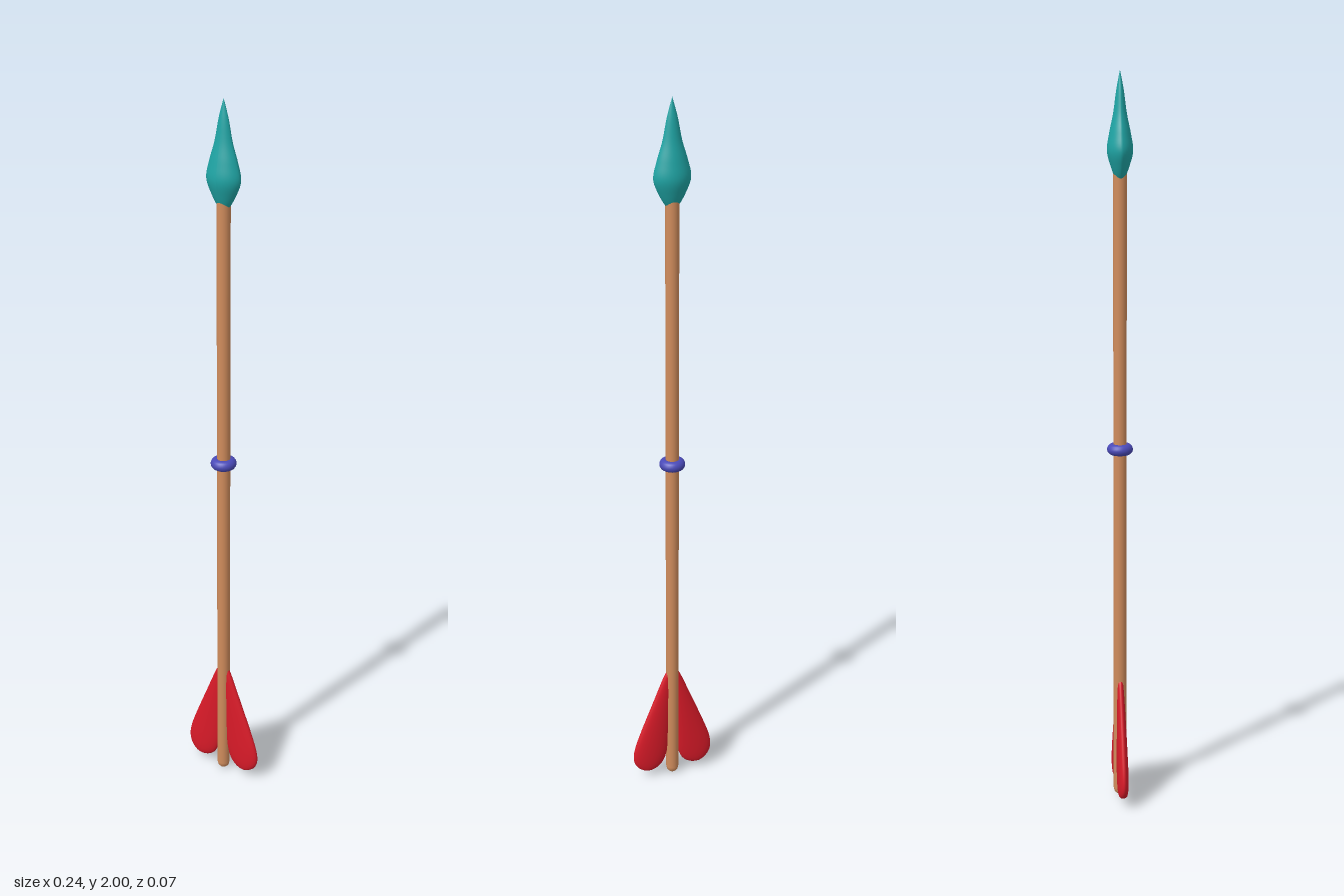
import * as THREE from 'three';

const mat = (color) => new THREE.MeshStandardMaterial({ color });

// Lathe through a smooth curve of [radius, height] points
function smoothLathe(points, samples, sides) {
  const curve = new THREE.SplineCurve(points.map(([r, y]) => new THREE.Vector2(r, y)));
  const profile = curve.getPoints(samples);
  profile.forEach((p) => { p.x = Math.max(p.x, 0); });
  return new THREE.LatheGeometry(profile, sides);
}

// Reshape the depth of a lathe: depth(radius, sine of the angle) gives z
function reshapeDepth(geometry, depth) {
  const pos = geometry.attributes.position;
  for (let i = 0; i < pos.count; i++) {
    const x = pos.getX(i), z = pos.getZ(i);
    const r = Math.hypot(x, z);
    pos.setZ(i, r > 1e-6 ? depth(r, z / r) : 0);
  }
  geometry.computeVertexNormals();
  return geometry;
}

export function createModel() {
  const group = new THREE.Group();
  const add = (name, geometry, material) => {
    const mesh = new THREE.Mesh(geometry, material);
    mesh.name = name;
    group.add(mesh);
    return mesh;
  };

  // Wooden shaft with a rounded lower end
  const shaftProfile = [[0, 0], [0.009, 0.002], [0.015, 0.008], [0.018, 0.02], [0.018, 1.74], [0, 1.74]];
  add('shaft', new THREE.LatheGeometry(
    shaftProfile.map(([r, y]) => new THREE.Vector2(r, y)), 24), mat(0xd08c5c));

  // Arrowhead with a lens-shaped cross-section
  const head = smoothLathe([
    [0, 1.718], [0.016, 1.722], [0.036, 1.755], [0.05, 1.795],
    [0.041, 1.84], [0.026, 1.89], [0.014, 1.95], [0, 2],
  ], 40, 40);
  reshapeDepth(head, (r, s) => 0.68 * r * s * Math.pow(Math.abs(s), 0.25));
  add('arrowhead', head, mat(0x1fa5a5));

  // Decorative ring at mid-shaft
  const ring = add('ring', new THREE.TorusGeometry(0.02, 0.015, 16, 36), mat(0x4a4ab8));
  ring.rotation.x = Math.PI / 2;
  ring.position.y = 1;

  // Pair of padded teardrop feathers, splayed outward toward the bottom
  const red = mat(0xd81a28);
  for (const side of [1, -1]) {
    const feather = smoothLathe([
      [0, -0.34], [0.027, -0.331], [0.045, -0.308], [0.05, -0.27],
      [0.043, -0.21], [0.026, -0.11], [0.011, -0.025], [0, 0],
    ], 36, 32);
    reshapeDepth(feather, (r, s) => 0.0155 * s * Math.pow(r / 0.05, 0.45));
    const mesh = add(side > 0 ? 'leftFeather' : 'rightFeather', feather, red);
    mesh.position.set(side * 0.008, 0.352, 0);
    mesh.rotation.z = side * 0.215;
  }

  return group;
}
